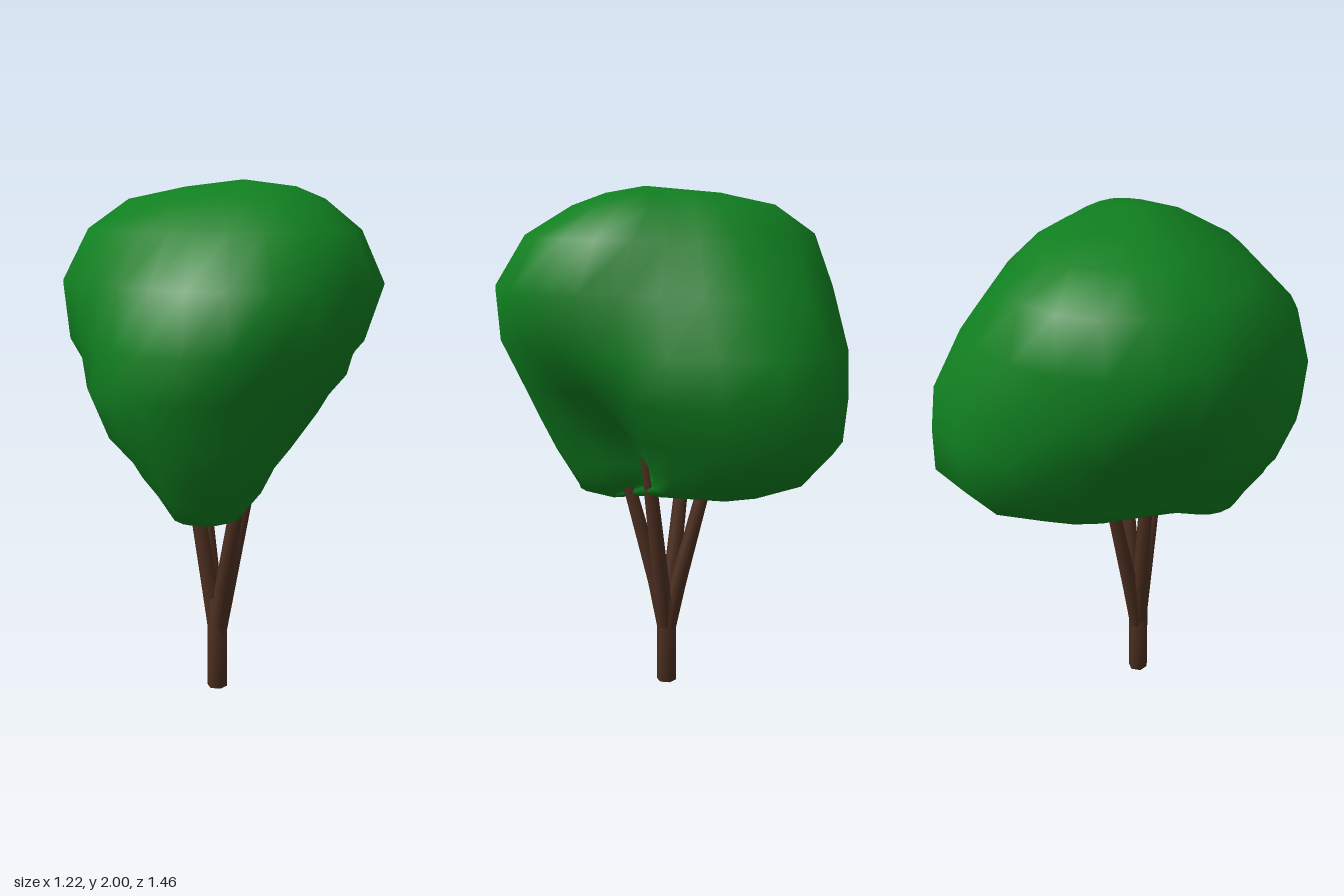
import * as THREE from 'three';
import { mergeVertices } from 'three/addons/utils/BufferGeometryUtils.js';

// Skins a stack of horizontal rings; each ring is [y, centreX, centreZ, ...radii],
// with the radii spread evenly from +x round through +z and smoothly interpolated.
function loft(rings, sides) {
  const pos = [], index = [];
  for (const [y, cx, cz, ...radii] of rings) {
    const n = radii.length;
    for (let j = 0; j < sides; j++) {
      const u = (j / sides) * n, k = Math.floor(u), t = u - k;
      const [a, b, c, d] = [-1, 0, 1, 2].map((o) => radii[(k + o + n) % n]);
      const r = b + 0.5 * t * (c - a + t * (2 * a - 5 * b + 4 * c - d + t * (3 * (b - c) + d - a)));
      const angle = (j / sides) * Math.PI * 2;
      pos.push(cx + r * Math.cos(angle), y, cz + r * Math.sin(angle));
    }
  }
  for (let i = 0; i < rings.length - 1; i++) {
    for (let j = 0; j < sides; j++) {
      const a = i * sides + j, b = i * sides + ((j + 1) % sides);
      index.push(a, a + sides, b, b, a + sides, b + sides);
    }
  }
  let geometry = new THREE.BufferGeometry();
  geometry.setAttribute('position', new THREE.Float32BufferAttribute(pos, 3));
  geometry.setIndex(index);
  geometry = mergeVertices(geometry, 1e-5);
  geometry.computeVertexNormals();
  return geometry;
}

export function createModel() {
  const tree = new THREE.Group();
  tree.name = 'tree';
  const bark = new THREE.MeshStandardMaterial({ color: 0x4d2f20 });
  const leaves = new THREE.MeshStandardMaterial({ color: 0x107f20 });
  const add = (name, geometry, material) => {
    const mesh = new THREE.Mesh(geometry, material);
    mesh.name = name;
    tree.add(mesh);
  };

  // Trunk, closed at the base
  const tx = -0.025, tz = 0.058;
  add('trunk', loft([
    [0, tx, tz, 0],
    [0, tx, tz, 0.04],
    [0.2, tx, tz, 0.04],
    [0.36, tx, tz, 0.041],
    [0.44, tx, tz, 0],
  ], 6), bark);

  // Four branches fanning out of the trunk into the crown
  const tips = [
    [0.09, 0.88, 0.165],
    [0.125, 1, 0.03],
    [-0.14, 0.95, 0.055],
    [-0.13, 0.95, -0.09],
  ];
  tips.forEach(([x, y, z], i) => {
    const along = (h, f, r) => [h, tx + (x - tx) * f, tz + (z - tz) * f, r];
    add(`branch${i + 1}`, loft([
      along(0.2, 0.02, 0.03),
      along(0.42, 0.26, 0.034),
      along(y - 0.03, 0.97, 0.026),
      along(y, 1, 0.014),
      along(y, 1, 0),
    ], 6), bark);
  });

  // Crown: two low lobes, front and back, that merge into a broad rounded top
  add('crown', loft([
    [0.74, 0, 0.32, 0],
    [0.785, 0, 0.24, 0.08, 0.17, 0.24, 0.18, 0.1, 0.1, 0.12, 0.08],
    [0.86, 0, 0.06, 0.08, 0.26, 0.46, 0.29, 0.16, 0.28, 0.46, 0.23],
    [0.94, 0, 0.05, 0.1, 0.32, 0.53, 0.37, 0.22, 0.39, 0.65, 0.32],
    [1.08, 0, 0.07, 0.2, 0.42, 0.56, 0.49, 0.32, 0.51, 0.8, 0.46],
    [1.25, 0, 0.08, 0.39, 0.52, 0.61, 0.56, 0.46, 0.61, 0.81, 0.6],
    [1.42, 0, 0.1, 0.54, 0.59, 0.63, 0.53, 0.59, 0.66, 0.81, 0.61],
    [1.63, 0, 0.12, 0.61, 0.59, 0.54, 0.52, 0.61, 0.68, 0.72, 0.54],
    [1.82, 0, 0.08, 0.52, 0.5, 0.39, 0.43, 0.52, 0.61, 0.53, 0.43],
    [1.93, 0, 0.04, 0.38, 0.34, 0.23, 0.24, 0.37, 0.42, 0.37, 0.29],
    [1.975, 0.05, 0.03, 0.22, 0.19, 0.13, 0.13, 0.2, 0.23, 0.23, 0.17],
    [2, 0.08, 0.07, 0],
  ], 24), leaves);

  return tree;
}
